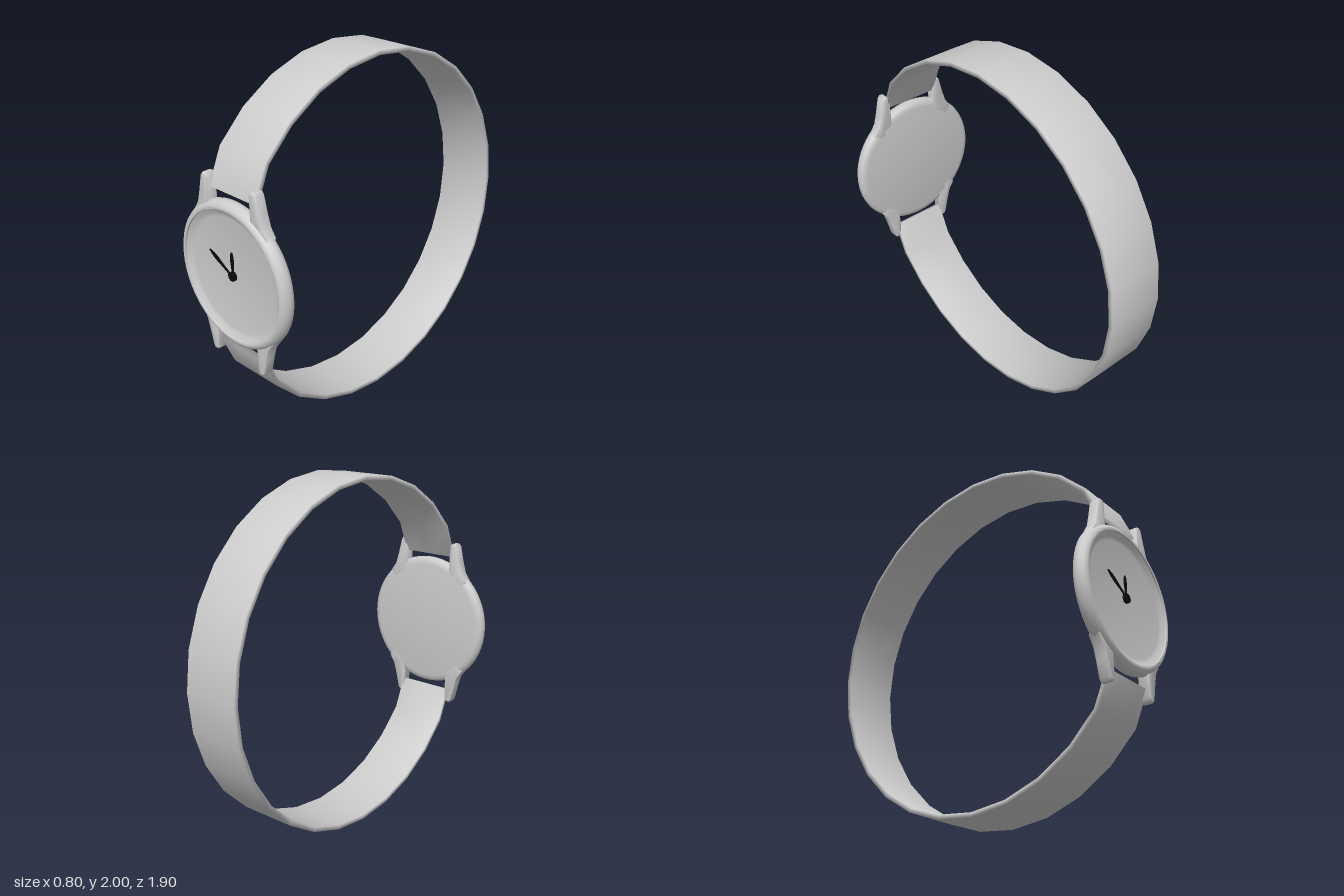
import * as THREE from 'three';
import { toCreasedNormals } from 'three/addons/utils/BufferGeometryUtils.js';

const metal = new THREE.MeshStandardMaterial({ color: 0xcccccc });
const black = new THREE.MeshStandardMaterial({ color: 0x0a0a0a });

function add(parent, name, geometry, material = metal) {
  const mesh = new THREE.Mesh(geometry, material);
  mesh.name = name;
  parent.add(mesh);
  return mesh;
}

// Open band: a flat cross-section swept round a 28-sided loop in the yz plane
function strapGeometry() {
  const R = 1, cz = 0.05, thick = 0.026, xs = [-0.163, 0.004, 0.171];
  const path = [new THREE.Vector2(0.913, 1.435)];
  for (let k = 3; k <= 25; k++) {
    const a = (k / 28) * Math.PI * 2;
    path.push(new THREE.Vector2(cz + R * Math.cos(a), 1 + R * Math.sin(a)));
  }
  path.push(new THREE.Vector2(0.913, 0.565));
  const pos = [], idx = [], n = 6;
  path.forEach((p, i) => {
    const t = path[Math.min(i + 1, path.length - 1)].clone().sub(path[Math.max(i - 1, 0)]).normalize();
    const inner = new THREE.Vector2(p.x - t.y * thick, p.y + t.x * thick);
    for (const x of xs) pos.push(x, p.y, p.x);
    for (const x of [...xs].reverse()) pos.push(x, inner.y, inner.x);
    if (i === 0) return;
    for (let j = 0; j < n; j++) {
      const a = (i - 1) * n + j, b = (i - 1) * n + (j + 1) % n;
      idx.push(a, b, b + n, a, b + n, a + n);
    }
  });
  // end caps
  const e = (path.length - 1) * n;
  idx.push(0, 5, 1, 1, 5, 4, 1, 4, 2, 2, 4, 3);
  idx.push(e, e + 1, e + 5, e + 1, e + 4, e + 5, e + 1, e + 2, e + 4, e + 2, e + 3, e + 4);
  const g = new THREE.BufferGeometry();
  g.setAttribute('position', new THREE.Float32BufferAttribute(pos, 3));
  g.setIndex(idx);
  g.computeVertexNormals();
  return g;
}

// Lathe about the z axis from [radius, z] pairs
function turned(profile, segments = 64) {
  const g = new THREE.LatheGeometry(profile.map(([r, z]) => new THREE.Vector2(r, z)), segments);
  g.rotateX(Math.PI / 2);
  return toCreasedNormals(g, 0.7);
}

// Tapered horn, rounded by a bevel
function lugGeometry(sx, sy) {
  const b = 0.012;
  const pts = [[0.167, 0.3], [0.167, 0.485], [0.175, 0.494], [0.185, 0.494], [0.192, 0.485],
    [0.212, 0.4], [0.232, 0.33], [0.262, 0.285], [0.24, 0.25]];
  const shape = new THREE.Shape(pts.map(([x, y]) => new THREE.Vector2(x * sx, y * sy)));
  const g = new THREE.ExtrudeGeometry(shape, {
    depth: 0.065 - 2 * b, bevelThickness: b, bevelSize: b, bevelSegments: 3,
  });
  g.translate(0, 0, 0.87 + b);
  return toCreasedNormals(g, 0.8);
}

// Leaf-shaped pointer that widens towards its tip
function handGeometry(length) {
  const half = [[0.005, 0], [0.007, 0.35], [0.012, 0.65], [0.011, 0.82], [0.004, 1]];
  const pts = [...half, ...half.map(([x, y]) => [-x, y]).reverse()];
  const shape = new THREE.Shape(pts.map(([x, y]) => new THREE.Vector2(x, y * length)));
  return new THREE.ExtrudeGeometry(shape, { depth: 0.005, bevelEnabled: false });
}

export function createModel() {
  const watch = new THREE.Group();
  watch.name = 'wristwatch';

  add(watch, 'strap', strapGeometry());

  const head = new THREE.Group();
  head.name = 'watchHead';
  head.position.y = 1;
  watch.add(head);

  // Closed back, rounded rim and raised bezel
  add(head, 'case', turned([
    [0, 0.87], [0.36, 0.87], [0.382, 0.874], [0.396, 0.885], [0.402, 0.903],
    [0.399, 0.922], [0.389, 0.94], [0.375, 0.951], [0.365, 0.954], [0.358, 0.952], [0.356, 0.94],
  ]));
  // Dial with a sloping edge
  add(head, 'dial', turned([
    [0.357, 0.944], [0.345, 0.938], [0.33, 0.929], [0.315, 0.926], [0, 0.925],
  ]));

  for (const sx of [-1, 1]) {
    for (const sy of [-1, 1]) {
      add(head, `${sy > 0 ? 'upper' : 'lower'}${sx > 0 ? 'Left' : 'Right'}Lug`, lugGeometry(sx, sy));
    }
  }

  // Hands and their centre pin
  add(head, 'hourHand', handGeometry(0.132), black).position.z = 0.929;
  const minute = add(head, 'minuteHand', handGeometry(0.19), black);
  minute.position.z = 0.934;
  minute.rotation.z = Math.PI / 3;
  const pin = add(head, 'handPin', new THREE.CylinderGeometry(0.025, 0.025, 0.018, 24), black);
  pin.rotation.x = Math.PI / 2;
  pin.position.z = 0.933;

  return watch;
}
